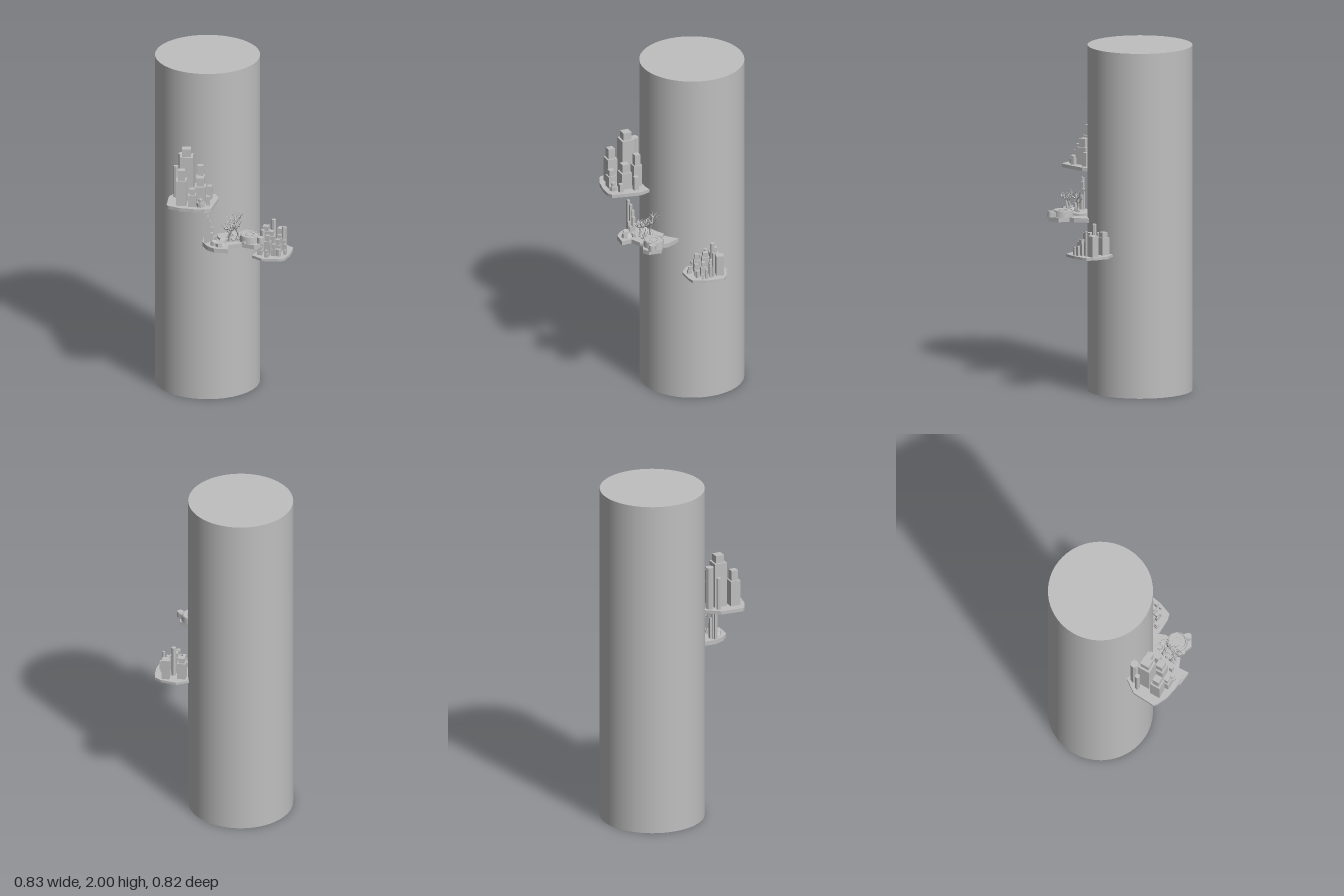
import * as THREE from 'three';

const stone = new THREE.MeshStandardMaterial({ color: 0xbfbfbf });
stone.name = 'grey stone';

function add(parent, name, geometry, x = 0, y = 0, z = 0, turn = 0) {
  const mesh = new THREE.Mesh(geometry, stone);
  mesh.name = name;
  mesh.position.set(x, y, z);
  mesh.rotation.y = turn;
  parent.add(mesh);
  return mesh;
}

function faceted(geometry) {
  const flat = geometry.toNonIndexed();
  flat.computeVertexNormals();
  return flat;
}

// Flat slab from an outline of [x, z] points
function slab(parent, name, outline, bottom, top) {
  const shape = new THREE.Shape(outline.map(([x, z]) => new THREE.Vector2(x, -z)));
  const geometry = new THREE.ExtrudeGeometry(shape, { depth: top - bottom, bevelEnabled: false });
  geometry.rotateX(-Math.PI / 2);
  return add(parent, name, geometry, 0, bottom, 0);
}

// Square tower, with a narrower upper tier when a second height is given
function squareTower(parent, [x, z, size, low, high], base, turn) {
  add(parent, 'tower', new THREE.BoxGeometry(size, low - base, size), x, (low + base) / 2, z, turn);
  if (high) {
    const s = size * 0.68;
    add(parent, 'towerTop', new THREE.BoxGeometry(s, high - low, s), x, (low + high) / 2, z, turn);
  }
}

function roundTower(parent, [x, z, r, top], base) {
  const geometry = faceted(new THREE.CylinderGeometry(r, r, top - base, 8));
  add(parent, 'roundTower', geometry, x, (base + top) / 2, z, Math.PI / 8);
}

function city(name, outline, bottom, top, turn, squares, rounds) {
  const group = new THREE.Group();
  group.name = name;
  slab(group, 'cityPlatform', outline, bottom, top);
  squares.forEach(t => squareTower(group, t, top, turn));
  rounds.forEach(t => roundTower(group, t, top));
  return group;
}

function branch(parent, name, points, radius) {
  const curve = new THREE.CatmullRomCurve3(points.map(p => new THREE.Vector3(...p)));
  const geometry = new THREE.TubeGeometry(curve, 8, radius, 5);
  // Taper the limb towards its tip
  const pos = geometry.attributes.position;
  for (let i = 0; i < pos.count; i++) {
    const t = Math.floor(i / 6) / 8;
    const v = new THREE.Vector3().fromBufferAttribute(pos, i);
    v.lerp(curve.getPointAt(t), t * 0.75);
    pos.setXYZ(i, v.x, v.y, v.z);
  }
  geometry.computeVertexNormals();
  add(parent, name, geometry);
}

// Bare tree: leaning trunk with forked, spreading branches
function tree(parent, x, z, height, spread, phase) {
  const base = 1.01;
  const lean = [Math.cos(phase) * 0.014, Math.sin(phase) * 0.014];
  const fork = [x + lean[0], base + height * 0.6, z + lean[1]];
  branch(parent, 'trunk', [[x, base, z], [x - lean[0] * 0.6, base + height * 0.3, z], fork,
    [fork[0], base + height * 0.8, fork[2]]], 0.009);
  for (let i = 0; i < 5; i++) {
    const a = phase + i * Math.PI * 0.4;
    const out = spread * (0.8 + 0.2 * Math.sin(i * 2.3 + phase));
    const rise = height * (0.3 + 0.1 * Math.cos(i * 1.7 + phase));
    const along = (d, h, bend = 0) =>
      [fork[0] + Math.cos(a + bend) * d, fork[1] + h, fork[2] + Math.sin(a + bend) * d];
    branch(parent, 'branch', [fork, along(out * 0.5, rise * 0.4), along(out, rise)], 0.005);
    for (const side of [-1, 1]) {
      branch(parent, 'twig', [along(out * 0.55, rise * 0.45), along(out * 0.75, rise * 0.8, side * 0.3),
        along(out * 0.95, rise * (0.9 + side * 0.25), side * 0.6)], 0.003);
    }
  }
  // Roots
  for (let i = 0; i < 4; i++) {
    const a = phase + 0.6 + i * Math.PI / 2;
    branch(parent, 'root', [[x, base + 0.025, z], [x + Math.cos(a) * 0.014, base + 0.008, z + Math.sin(a) * 0.014],
      [x + Math.cos(a) * 0.032, base, z + Math.sin(a) * 0.032]], 0.006);
  }
}

function garden() {
  const group = new THREE.Group();
  group.name = 'gardenTerrace';
  slab(group, 'terracePlatform', [[-0.15, 0.15], [-0.2, 0.24], [-0.2, 0.31], [-0.18, 0.36], [-0.11, 0.402],
    [-0.085, 0.345], [0, 0.35], [0.05, 0.405], [0.09, 0.402], [0.13, 0.337], [0.095, 0.277],
    [0.11, 0.25], [0.11, 0.12]], 0.98, 1.005);

  // Raised round lawn under the trees
  add(group, 'lawn', new THREE.CylinderGeometry(0.07, 0.07, 0.015, 32), -0.03, 1.01, 0.235);

  // Round pavilion with a rim, vents and a small annex
  add(group, 'pavilion', new THREE.CylinderGeometry(0.057, 0.06, 0.035, 24), 0.06, 1.0225, 0.322);
  const rim = add(group, 'pavilionRim', new THREE.TorusGeometry(0.051, 0.004, 6, 32), 0.06, 1.04, 0.322);
  rim.rotation.x = Math.PI / 2;
  for (let i = 0; i < 10; i++) {
    const a = i * Math.PI / 5;
    add(group, 'roofVent', new THREE.BoxGeometry(0.006, 0.004, 0.011),
      0.06 + Math.cos(a) * 0.025, 1.041, 0.322 + Math.sin(a) * 0.025, -a);
  }
  add(group, 'annex', new THREE.CylinderGeometry(0.018, 0.02, 0.035, 12), 0.1, 1.0225, 0.385);
  add(group, 'annexLink', new THREE.BoxGeometry(0.035, 0.03, 0.05), 0.092, 1.02, 0.36, 0.4);
  add(group, 'step', new THREE.BoxGeometry(0.02, 0.012, 0.016), 0.006, 1.011, 0.362, 0.5);

  // Stepped ruin falling towards the trees
  [[-0.187, 0.255, 1.19], [-0.173, 0.25, 1.165], [-0.16, 0.245, 1.13], [-0.147, 0.255, 1.095],
    [-0.16, 0.28, 1.07], [-0.14, 0.29, 1.05]].forEach(([x, z, top]) =>
    squareTower(group, [x, z, 0.016, top], 1.005, -0.45));

  // Sloping rock slabs
  [[-0.13, 0.335, 0.05], [-0.1, 0.3, 0.035], [-0.155, 0.31, 0.035]].forEach(([x, z, s], i) => {
    const rock = add(group, 'rock', faceted(new THREE.CylinderGeometry(s * 0.5, s * 0.65, 0.024, 7)), x, 1.016, z, i);
    rock.rotation.z = 0.2;
  });

  [[-0.02, 0.25, 0.14, 0.055, 0.3], [-0.055, 0.3, 0.115, 0.05, 1.4], [-0.015, 0.31, 0.13, 0.045, 2.5],
    [-0.045, 0.265, 0.09, 0.04, 4]].forEach(t => tree(group, ...t));
  return group;
}

export function createModel() {
  const model = new THREE.Group();
  model.name = 'pillarWithCities';

  // Great pillar
  add(model, 'pillar', new THREE.CylinderGeometry(0.3, 0.3, 2, 64), -0.017, 1, -0.11);

  // Towers: x, z, size, height, upper tier height; round towers: x, z, radius, height
  model.add(city('upperCity',
    [[-0.35, 0.105], [-0.265, 0.06], [-0.15, 0.1], [-0.09, 0.17], [-0.1, 0.24], [-0.16, 0.32], [-0.205, 0.375],
      [-0.24, 0.373], [-0.3, 0.343], [-0.365, 0.295], [-0.41, 0.24], [-0.415, 0.222]], 1.24, 1.26, -0.45,
    [[-0.27, 0.175, 0.075, 1.525, 1.57], [-0.33, 0.24, 0.06, 1.41, 1.47], [-0.217, 0.25, 0.063, 1.36, 1.41],
      [-0.186, 0.182, 0.05, 1.39, 1.455], [-0.285, 0.29, 0.046, 1.33, 1.365],
      [-0.15, 0.23, 0.028, 1.34], [-0.195, 0.31, 0.022, 1.31]],
    [[-0.265, 0.105, 0.024, 1.51], [-0.315, 0.125, 0.014, 1.45], [-0.245, 0.318, 0.023, 1.285],
      [-0.245, 0.318, 0.013, 1.305]]));

  model.add(city('lowerCity',
    [[0.15, 0.14], [0.18, 0.21], [0.265, 0.253], [0.3, 0.26], [0.36, 0.205], [0.4, 0.15], [0.415, 0.12],
      [0.4, 0.08], [0.34, 0.01], [0.26, -0.005], [0.2, 0.05]], 0.815, 0.83, -0.7,
    [[0.278, 0.05, 0.05, 0.93, 0.96], [0.358, 0.093, 0.045, 0.95], [0.278, 0.125, 0.043, 0.93, 0.955],
      [0.329, 0.129, 0.03, 0.905, 0.925], [0.242, 0.158, 0.034, 0.91, 0.945], [0.2, 0.144, 0.027, 0.86, 0.88],
      [0.3, 0.169, 0.032, 0.885, 0.915], [0.267, 0.19, 0.026, 0.87, 0.9], [0.218, 0.193, 0.024, 0.85, 0.87],
      [0.338, 0.184, 0.017, 0.885], [0.327, 0.207, 0.013, 0.86], [0.347, 0.158, 0.015, 0.9]],
    [[0.244, 0.082, 0.013, 0.95], [0.306, 0.096, 0.013, 1.01], [0.229, 0.113, 0.009, 0.92],
      [0.349, 0.136, 0.008, 0.975], [0.289, 0.207, 0.013, 0.87]]));

  model.add(garden());
  return model;
}
